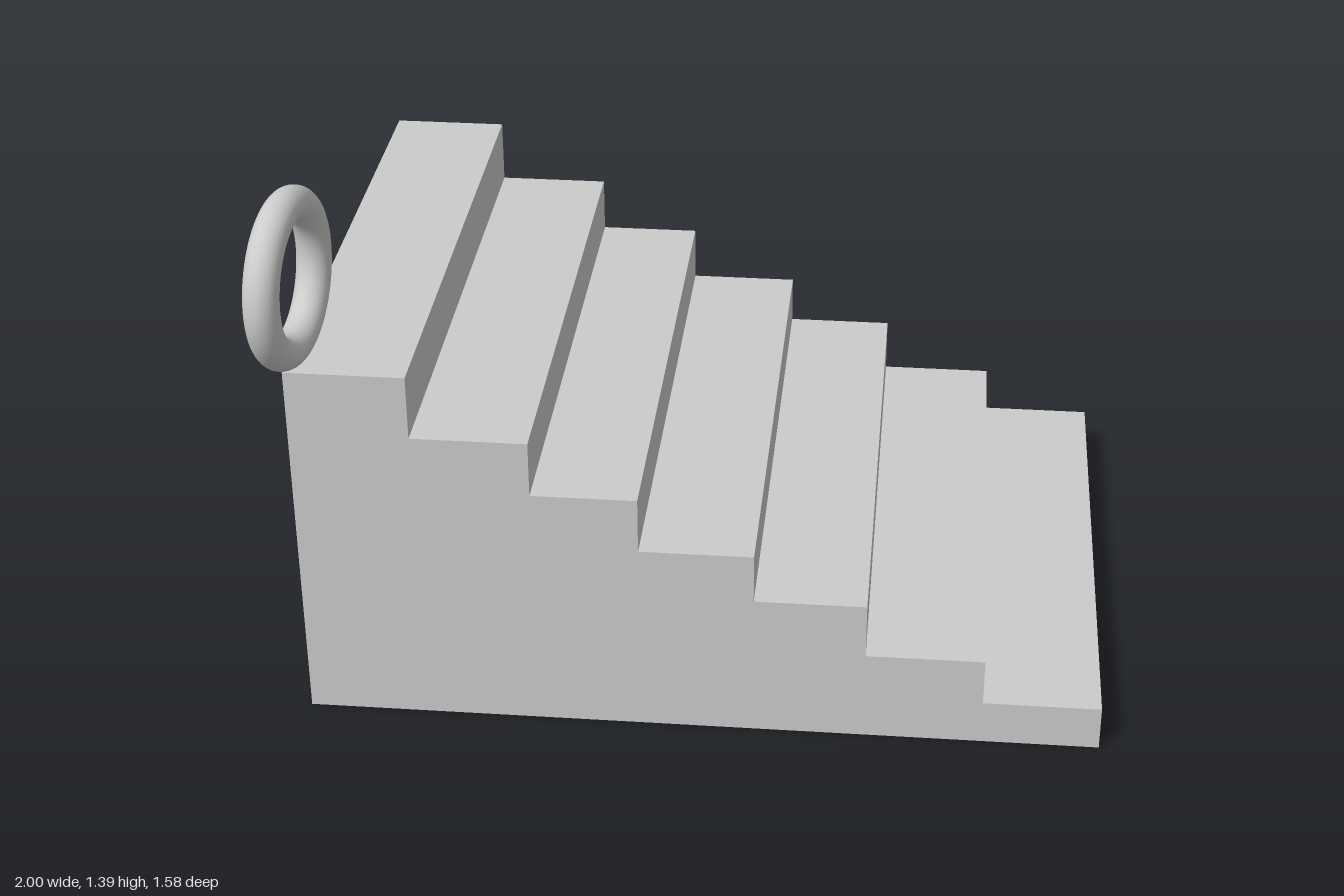
import * as THREE from 'three';

export function createModel() {
  const model = new THREE.Group();
  const material = new THREE.MeshStandardMaterial({ color: 0xcccccc });

  // Solid staircase: stepped side profile extruded along z
  const backX = -0.957, backZ = -0.79, frontZ = 0.63;
  const steps = [ // [outer edge x, tread height], lowest step first
    [1.0, 0.115], [0.712, 0.237], [0.423, 0.38], [0.15, 0.507],
    [-0.128, 0.65], [-0.385, 0.793], [-0.667, 0.957],
  ];
  const profile = new THREE.Shape();
  profile.moveTo(backX, 0);
  profile.lineTo(steps[0][0], 0);
  steps.forEach(([x, y], i) => {
    profile.lineTo(x, y);
    profile.lineTo(i + 1 < steps.length ? steps[i + 1][0] : backX, y);
  });
  profile.closePath();
  const stairs = new THREE.Mesh(
    new THREE.ExtrudeGeometry(profile, { depth: frontZ - backZ, bevelEnabled: false }),
    material
  );
  stairs.name = 'staircase';
  stairs.position.z = backZ;
  model.add(stairs);

  // Ring standing on the corner of the top step, turned slightly
  const ring = new THREE.Mesh(new THREE.TorusGeometry(0.1755, 0.0418, 32, 96), material);
  ring.name = 'ring';
  ring.position.set(-0.938, 1.175, 0.57);
  ring.rotation.y = Math.PI / 2 - 0.115;
  model.add(ring);

  return model;
}
